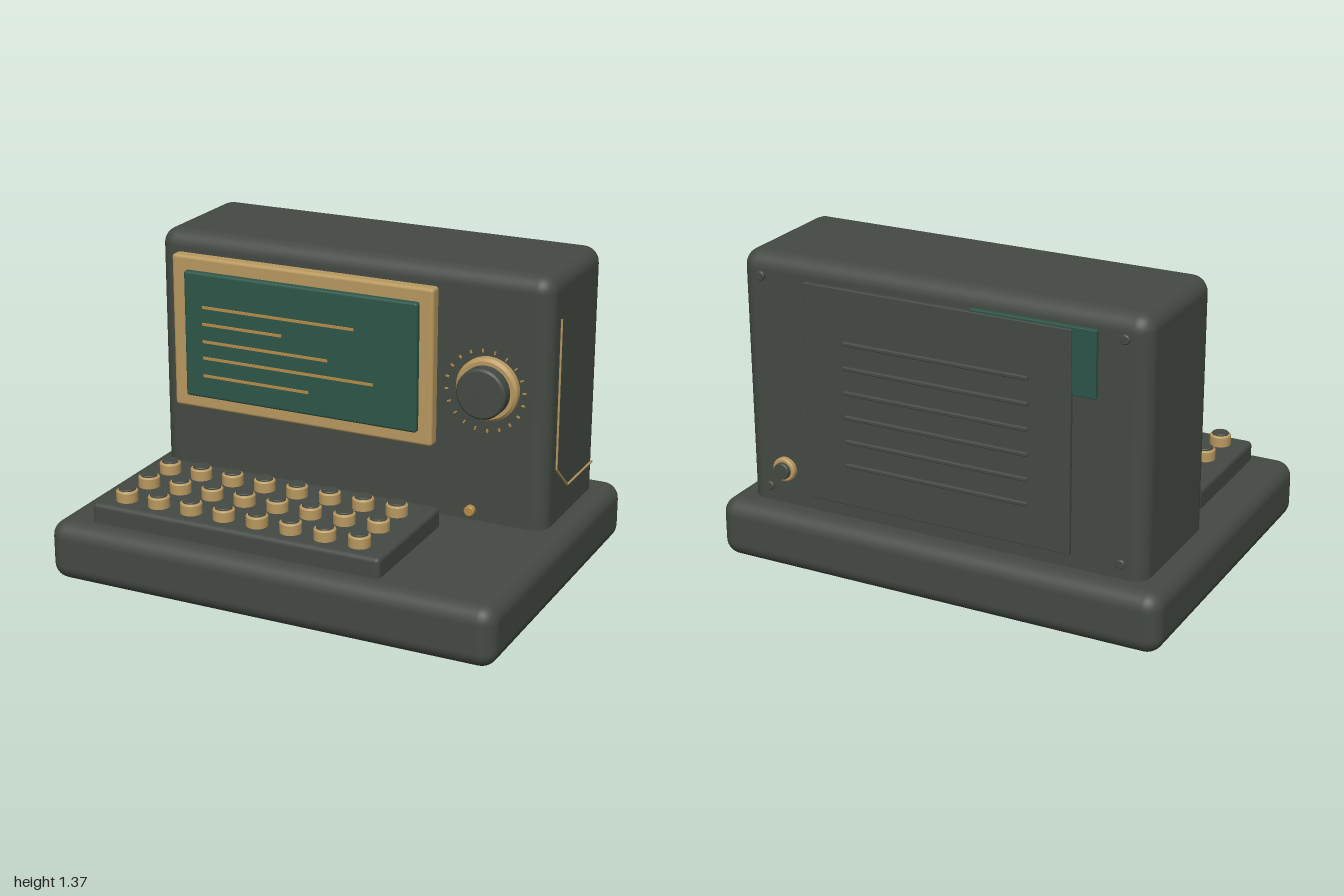
import * as THREE from 'three';
import { RoundedBoxGeometry } from 'three/addons/geometries/RoundedBoxGeometry.js';

function material(name, color) {
  const m = new THREE.MeshStandardMaterial({ color });
  m.name = name;
  return m;
}

export function createModel() {
  const model = new THREE.Group();
  model.name = 'retroTerminal';
  const casing = material('charcoal casing', 0x444a43);
  const brass = material('brass', 0xb8985f);
  const glass = material('green glass', 0x2c5548);
  const copper = material('copper', 0xb58c48);

  function add(name, geometry, mat, x = 0, y = 0, z = 0, parent = model) {
    const mesh = new THREE.Mesh(geometry, mat);
    mesh.name = name;
    mesh.position.set(x, y, z);
    parent.add(mesh);
    return mesh;
  }

  // Box given by its limits, rounded when r > 0
  function box(name, mat, [x0, x1], [y0, y1], [z0, z1], r = 0) {
    const s = [x1 - x0, y1 - y0, z1 - z0];
    const g = r ? new RoundedBoxGeometry(...s, 4, r) : new THREE.BoxGeometry(...s);
    return add(name, g, mat, (x0 + x1) / 2, (y0 + y1) / 2, (z0 + z1) / 2);
  }

  // Solid disc along y with bevelled rims, standing on y = 0
  function disc(r, h, b) {
    const p = [[0, 0], [r - b, 0], [r - b, 0], [r, b], [r, b], [r, h - b], [r, h - b], [r - b, h], [r - b, h], [0, h]];
    return new THREE.LatheGeometry(p.map(([a, c]) => new THREE.Vector2(a, c)), 32);
  }
  // The same disc growing toward +z (dir 1) or -z (dir -1)
  const discZ = (r, h, b, dir = 1) => disc(r, h, b).rotateX(dir * Math.PI / 2);

  // Base and feet
  box('base', casing, [-1, 1], [0.03, 0.29], [-0.75, 0.75], 0.07);
  for (const x of [-0.71, 0.71]) {
    for (const z of [-0.53, 0.53]) add('foot', disc(0.082, 0.05, 0.008), casing, x, 0, z);
  }

  // Cabinet
  box('cabinet', casing, [-0.9, 0.9], [0.2, 1.37], [-0.65, -0.05], 0.07);

  // Screen with its lines
  box('screenBezel', brass, [-0.81, 0.41], [0.6, 1.28], [-0.08, 0.0], 0.014);
  box('screen', glass, [-0.74, 0.35], [0.66, 1.22], [-0.02, 0.025], 0.012);
  const lines = [[1.07, 0.065], [0.995, -0.27], [0.917, -0.055], [0.843, 0.155], [0.763, -0.145]];
  for (const [y, end] of lines) {
    box('screenLine', copper, [-0.65, end], [y - 0.006, y + 0.006], [0.022, 0.029]);
  }

  // Dial with a ring of tick marks
  const dial = new THREE.Group();
  dial.name = 'dial';
  dial.position.set(0.655, 0.895, 0);
  model.add(dial);
  add('dialSpindle', discZ(0.1, 0.05, 0.005), casing, 0, 0, -0.06, dial);
  add('dialRing', discZ(0.135, 0.05, 0.012), brass, 0, 0, -0.025, dial);
  add('dialKnob', discZ(0.107, 0.075, 0.008), casing, 0, 0, 0.008, dial);
  for (let i = 0; i < 20; i++) {
    const a = (i / 20) * Math.PI * 2 + 0.08;
    const tick = add('dialTick', new THREE.BoxGeometry(0.014, 0.006, 0.008), copper,
      Math.cos(a) * 0.17, Math.sin(a) * 0.17, 0.028, dial);
    tick.rotation.z = a;
  }

  // Keyboard: three rows of eight round keys
  box('keyboardPlate', casing, [-0.83, 0.485], [0.25, 0.375], [0.065, 0.665], 0.02);
  const keyBody = disc(0.046, 0.055, 0.006);
  const keyCap = disc(0.036, 0.014, 0.003);
  for (const z of [0.217, 0.393, 0.57]) {
    for (let i = 0; i < 8; i++) {
      const x = -0.715 + i * 0.153;
      add('keyBody', keyBody, brass, x, 0.368, z);
      add('keyCap', keyCap, casing, x, 0.416, z);
    }
  }

  // Small indicator light
  add('indicator', discZ(0.022, 0.03, 0.004), copper, 0.637, 0.405, 0.104);

  // Inlaid strip on the left flank
  const path = [[1.18, -0.16], [0.53, -0.16], [0.415, -0.3], [0.415, -0.6]]
    .map(([y, z]) => new THREE.Vector3(0.903, y, z));
  for (let i = 0; i < 3; i++) {
    const g = new THREE.TubeGeometry(new THREE.LineCurve3(path[i], path[i + 1]), 1, 0.005, 8);
    add('sideInlay', g, brass);
  }

  // Rear panel, tag tucked behind it, and vent slats
  box('rearTag', glass, [-0.69, -0.155], [1.02, 1.295], [-0.668, -0.645], 0.004);
  box('rearPanel', casing, [-0.59, 0.59], [0.355, 1.285], [-0.675, -0.655], 0.004);
  box('rearPanelMount', casing, [-0.55, 0.55], [0.4, 1.0], [-0.66, -0.64]);
  for (let i = 0; i < 6; i++) {
    const y = 0.535 + i * 0.105;
    box('ventSlat', casing, [-0.41, 0.41], [y - 0.009, y + 0.009], [-0.686, -0.67], 0.005);
  }

  // Rear corner screws
  for (const x of [-0.8, 0.8]) {
    for (const y of [0.355, 1.275]) add('screw', discZ(0.02, 0.02, 0.004, -1), casing, x, y, -0.642);
  }

  // Rear connector
  add('connectorCollar', discZ(0.052, 0.03, 0.006, -1), brass, 0.72, 0.447, -0.644);
  add('connectorPlug', discZ(0.036, 0.025, 0.004, -1), casing, 0.72, 0.447, -0.667);

  return model;
}
